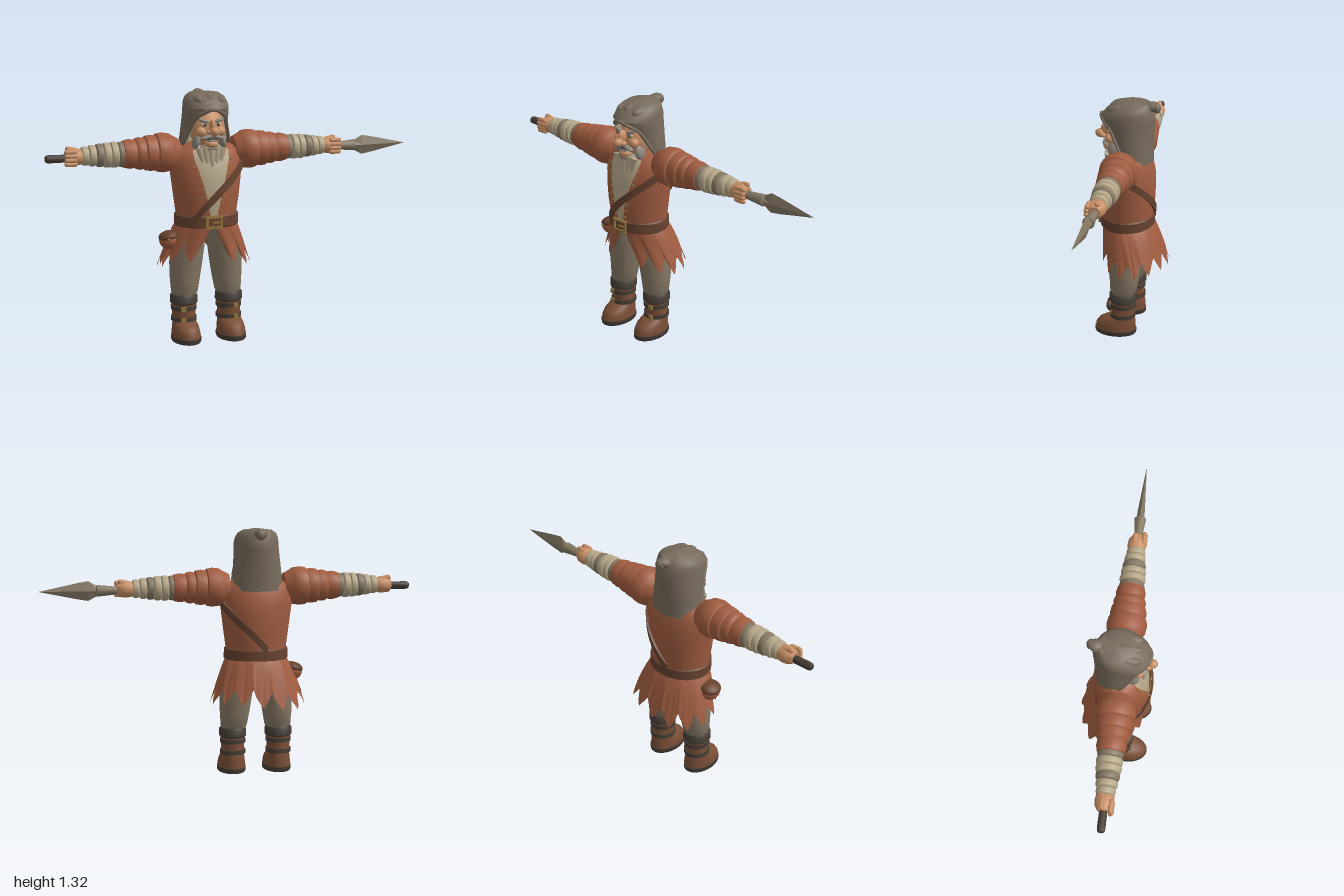
import * as THREE from 'three';
import { toCreasedNormals } from 'three/addons/utils/BufferGeometryUtils.js';

const mat = (name, color, side = THREE.FrontSide) => {
  const m = new THREE.MeshStandardMaterial({ color, side });
  m.name = name;
  return m;
};
const { sin, cos, PI, abs } = Math;

// Surface from a point rule: u runs to the right, v runs up
function grid(fn, nu, nv, crease = 0.7) {
  const pos = [], idx = [], w = nu + 1;
  for (let j = 0; j <= nv; j++) for (let i = 0; i <= nu; i++) pos.push(...fn(i / nu, j / nv));
  for (let j = 0; j < nv; j++) for (let i = 0; i < nu; i++) {
    const a = j * w + i;
    idx.push(a, a + 1, a + w + 1, a, a + w + 1, a + w);
  }
  const g = new THREE.BufferGeometry();
  g.setAttribute('position', new THREE.Float32BufferAttribute(pos, 3));
  g.setIndex(idx);
  return toCreasedNormals(g, crease);
}

// Elliptical cross-sections [y, cx, cz, rx, rz, halfOpening at the front]
function loft(rows, n = 24, cap = true, crease = 0.7) {
  if (cap) {
    const f = rows[0], l = rows[rows.length - 1];
    rows = [[f[0], f[1], f[2], 0, 0], ...rows, [l[0], l[1], l[2], 0, 0]];
  }
  return grid((u, v) => {
    const [y, cx, cz, rx, rz, h = 0] = rows[Math.round(v * (rows.length - 1))];
    const a = h + u * (2 * PI - 2 * h);
    return [cx + rx * sin(a), y, cz + rz * cos(a)];
  }, n, rows.length - 1, crease);
}
// Round sections [distance, radius] laid along the x axis on side s
const limb = (rows, s, n = 20) => loft(rows.map(([t, r, q = r]) => [t, 0, 0, r, q]), n).rotateZ(-s * PI / 2);

function sample(rows, y) {
  let i = 0;
  while (i < rows.length - 2 && rows[i + 1][0] < y) i++;
  const t = THREE.MathUtils.clamp((y - rows[i][0]) / (rows[i + 1][0] - rows[i][0]), 0, 1);
  return rows[i].map((v, k) => v + (rows[i + 1][k] - v) * t);
}

export function createModel() {
  const model = new THREE.Group();
  const fig = new THREE.Group();
  fig.name = 'figure';
  fig.position.x = -0.15;
  model.add(fig);

  const vestM = mat('rust cloth', 0xa05c40, THREE.DoubleSide);
  const leather = mat('dark leather', 0x664230);
  const bootM = mat('boot leather', 0x7a4e36);
  const taupe = mat('taupe cloth', 0x857864);
  const hoodM = mat('hood cloth', 0x776b5c, THREE.DoubleSide);
  const skin = mat('skin', 0xc89066);
  const cream = mat('cream cloth', 0xb5a688, THREE.DoubleSide);
  const dark = mat('dark', 0x453d35);
  const gold = mat('brass', 0x94733c);
  const hair = mat('grey hair', 0x8b857b);

  const add = (name, g, m, x = 0, y = 0, z = 0, parent = fig) => {
    const o = new THREE.Mesh(g, m);
    o.name = name;
    o.position.set(x, y, z);
    parent.add(o);
    return o;
  };
  const ball = (name, m, x, y, z, rx, ry = rx, rz = rx, rotZ = 0) => {
    const o = add(name, new THREE.SphereGeometry(1, 18, 12), m, x, y, z);
    o.scale.set(rx, ry, rz);
    o.rotation.z = rotZ;
    return o;
  };

  // Torso: shirt inside an open vest
  const torso = [
    [0.64, 0, 0.025, 0.158, 0.138, 0.1], [0.7, 0, 0.026, 0.165, 0.143, 0.13], [0.77, 0, 0.027, 0.175, 0.149, 0.2],
    [0.85, 0, 0.025, 0.185, 0.15, 0.31], [0.92, 0, 0.022, 0.194, 0.143, 0.4], [0.98, 0, 0.02, 0.195, 0.127, 0.5],
    [1.02, 0, 0.018, 0.177, 0.11, 0.58], [1.045, 0, 0.015, 0.135, 0.09, 0.65], [1.06, 0, 0.01, 0.06, 0.05, 0.7]];
  const onTorso = (a, y, off) => {
    const r = sample(torso, y);
    return [(r[3] + off) * sin(a), y, r[2] + (r[4] + off) * cos(a)];
  };
  add('vest', loft(torso, 40, false), vestM);
  add('shirt', loft(torso.map(r => [r[0], 0, r[2], r[3] - 0.012, r[4] - 0.01]), 36), cream);
  for (const s of [-1, 1]) for (let i = 0; i < 8; i++) {
    const y = 0.71 + i * 0.038;
    const p = onTorso(s * (sample(torso, y)[5] + 0.07), y, 0.001);
    ball('vestStud', gold, ...p, 0.006);
  }
  // Beard locks over the chest
  for (let i = -2; i <= 2; i++) {
    const lock = add('beardLock', new THREE.ConeGeometry(0.024, 0.17 - abs(i) * 0.025, 8), cream,
      i * 0.026, 0.965 + abs(i) * 0.008, 0.142 - abs(i) * 0.006);
    lock.rotation.set(PI - 0.1, 0, i * 0.08);
    lock.scale.z = 0.6;
  }

  // Diagonal strap, belt and buckle
  const strapCut = [[-0.024, 0], [-0.024, 0.012], [0.024, 0.012], [0.024, 0]];
  add('shoulderStrap', grid((u, v) => {
    const a = -0.75 + u * 4.1, [dy, off] = strapCut[Math.round(v * 3)];
    return onTorso(a, 0.97 - 0.3 * Math.pow(abs(a - 1.4) / 2, 1.3) + dy, off);
  }, 48, 3), leather);
  add('belt', loft([[0.62, 0, 0.026, 0.167, 0.142], [0.626, 0, 0.026, 0.173, 0.148],
    [0.678, 0, 0.026, 0.172, 0.148], [0.684, 0, 0.026, 0.166, 0.142]], 36), leather);
  const frame = new THREE.Shape([[-0.045, -0.033], [0.045, -0.033], [0.045, 0.033], [-0.045, 0.033]].map(p => new THREE.Vector2(...p)));
  frame.holes.push(new THREE.Path([[-0.033, -0.021], [-0.033, 0.021], [0.033, 0.021], [0.033, -0.021]].map(p => new THREE.Vector2(...p))));
  add('beltBuckle', new THREE.ExtrudeGeometry(frame, { depth: 0.016, bevelEnabled: false }), gold, 0, 0.652, 0.164);
  add('bucklePin', new THREE.BoxGeometry(0.05, 0.008, 0.01), gold, 0.015, 0.652, 0.176);

  // Ragged skirt of the coat
  add('raggedSkirt', grid((u, v) => {
    const k = Math.floor(u * 13 - 1e-6), tooth = abs(((u * 13) % 1) * 2 - 1);
    const f = 1 - v, h = 0.03 + 0.24 * f, a = h + u * (2 * PI - 2 * h);
    const low = 0.4 + 0.025 * cos(a) + 0.022 * sin(k * 5.3) + 0.085 * tooth;
    const fold = 1 + f * 0.055 * cos(u * 2 * PI * 13 + PI);
    const flare = Math.pow(f, 0.8);
    return [(0.158 + 0.085 * flare) * fold * sin(a), 0.64 + (low - 0.64) * f,
      0.024 - 0.045 * flare + (0.136 + 0.034 * flare) * fold * cos(a)];
  }, 130, 6), vestM);

  // Hip pouch
  ball('pouch', vestM, -0.208, 0.545, 0.03, 0.05, 0.048, 0.055);
  ball('pouchFlap', leather, -0.21, 0.567, 0.03, 0.053, 0.027, 0.058, 0.25);
  ball('pouchButton', gold, -0.222, 0.555, 0.085, 0.008);

  for (const s of [-1, 1]) {
    // Trousers
    add('trouserLeg', loft([[0.235, s * 0.122, 0.024, 0.06, 0.06], [0.26, s * 0.121, 0.022, 0.071, 0.073],
      [0.33, s * 0.117, 0.018, 0.08, 0.081], [0.42, s * 0.111, 0.018, 0.088, 0.092],
      [0.52, s * 0.1, 0.02, 0.09, 0.1], [0.64, s * 0.085, 0.022, 0.08, 0.1]]), taupe);
    // Boots
    const x = s * 0.126;
    add('bootCuff', loft([[0.195, x, 0.024, 0.066, 0.068], [0.203, x, 0.024, 0.074, 0.076],
      [0.24, x, 0.024, 0.073, 0.075], [0.25, x, 0.024, 0.066, 0.068]]), dark);
    add('bootFoot', loft([[0.02, x, 0.065, 0.074, 0.113], [0.05, x, 0.064, 0.073, 0.111], [0.075, x, 0.056, 0.069, 0.102],
      [0.093, x, 0.04, 0.064, 0.083], [0.108, x, 0.024, 0.061, 0.064], [0.2, x, 0.024, 0.064, 0.066]], 28), bootM);
    add('bootSole', loft([[0, x, 0.065, 0.074, 0.113], [0.006, x, 0.065, 0.077, 0.116], [0.027, x, 0.065, 0.077, 0.116]], 28), dark);
    for (const y of [0.115, 0.175]) {
      add('bootStrap', loft([[y - 0.011, x, 0.024, 0.069, 0.071], [y + 0.011, x, 0.024, 0.069, 0.071]]), dark);
      add('bootBuckle', new THREE.BoxGeometry(0.026, 0.024, 0.01), gold, x + s * 0.02, y, 0.092);
    }

    // Arms
    const arm = new THREE.Group();
    arm.name = s > 0 ? 'leftArm' : 'rightArm';
    arm.position.set(0, 1.01, 0.02);
    fig.add(arm);
    add('puffSleeve', limb([[0.15, 0.07], [0.19, 0.09], [0.2, 0.099], [0.24, 0.104], [0.268, 0.099], [0.274, 0.09],
      [0.28, 0.091], [0.3, 0.094], [0.328, 0.09], [0.334, 0.081], [0.34, 0.081], [0.36, 0.085], [0.378, 0.08],
      [0.384, 0.073], [0.39, 0.074], [0.415, 0.077], [0.445, 0.07], [0.45, 0.06]], s, 28), vestM, 0, 0, 0, arm);
    const radii = [0.066, 0.068, 0.066, 0.061, 0.056, 0.05];
    radii.forEach((r, i) => {
      const t = 0.436 + i * 0.038;
      add('forearmWrap', limb([[t, r - 0.012], [t + 0.006, r - 0.002], [t + 0.02, r], [t + 0.034, r - 0.003],
        [t + 0.04, r - 0.012]], s), i % 3 === 0 ? taupe : cream, 0, 0, 0, arm);
    });
    // Fist with fingers pointing outward around the shaft
    add('palm', limb([[0.64, 0.03], [0.66, 0.038, 0.044], [0.69, 0.045, 0.05], [0.72, 0.043, 0.046], [0.745, 0.03]], s),
      skin, 0, -0.002, 0, arm);
    for (let i = 0; i < 4; i++) {
      const finger = add('finger', new THREE.CapsuleGeometry(0.0125, 0.045, 4, 10), skin,
        s * 0.723, 0.028 - i * 0.021, 0.042 - abs(i - 1.5) * 0.005, arm);
      finger.rotation.z = PI / 2;
    }
    const thumb = add('thumb', new THREE.CapsuleGeometry(0.014, 0.04, 4, 10), skin, s * 0.71, 0.034, -0.012, arm);
    thumb.rotation.z = PI / 2 + s * 0.2;

    // Weapon: butt on the right, head on the left
    if (s > 0) {
      add('spearSocket', limb([[0.7, 0.02], [0.76, 0.022], [0.85, 0.031], [0.856, 0.02]], s, 12), taupe, 0, -0.008, 0, arm);
      const blade = loft([[0.84, 0, 0, 0.022, 0.02], [0.895, 0, 0, 0.052, 0.019], [0.95, 0, 0, 0.043, 0.015],
        [1.15, 0, 0, 0.001, 0.001]], 4, true, 0.2).rotateZ(-PI / 2);
      add('spearBlade', blade, taupe, 0, -0.008, 0, arm);
    } else {
      add('spearButt', limb([[0.7, 0.02], [0.83, 0.021], [0.844, 0.019], [0.85, 0.012]], s, 12), dark, 0, -0.008, 0, arm);
    }
  }

  // Hood with face opening, hem, lining and drooping tip
  const hood = [[0.995, 0, -0.018, 0.135, 0.094, 1.5], [1.08, 0, -0.004, 0.132, 0.11, 1.1], [1.14, 0, 0.004, 0.126, 0.12, 0.9],
    [1.19, 0, 0.012, 0.121, 0.13, 0.72], [1.215, 0, 0.02, 0.12, 0.14, 0.5], [1.24, 0, 0.024, 0.119, 0.145, 0],
    [1.27, 0, 0.016, 0.115, 0.128], [1.295, 0, 0.004, 0.103, 0.11], [1.313, 0, -0.006, 0.078, 0.088], [1.323, 0, -0.01, 0, 0]];
  add('hood', loft(hood, 40, false), hoodM);
  add('hoodLining', loft(hood.slice(0, 5).map(r => [r[0], 0, r[2], r[3] - 0.012, r[4] - 0.012, r[5] - 0.12]), 30, false), cream);
  const edge = s => hood.slice(0, 6).map(([y, , cz, rx, rz, h]) => new THREE.Vector3(s * rx * sin(h), y, cz + rz * cos(h)));
  const hem = new THREE.CatmullRomCurve3([...edge(-1), ...edge(1).reverse().slice(1)]);
  add('hoodHem', new THREE.TubeGeometry(hem, 50, 0.01, 8), hoodM);
  for (const x of [-0.055, 0, 0.055])
    ball('hoodFold', hoodM, x, 1.288 - abs(x) * 0.15, 0.02, 0.036, 0.034, 0.105);
  const tip = ball('hoodTip', hoodM, 0, 1.293, -0.095, 0.036, 0.028, 0.05);
  tip.rotation.x = 0.35;
  ball('hoodTipCurl', hoodM, 0.006, 1.293, -0.13, 0.026, 0.028, 0.022);

  // Head and face
  ball('head', skin, 0, 1.13, 0.045, 0.092, 0.11, 0.092);
  ball('neck', skin, 0, 1.04, 0.02, 0.07, 0.05, 0.07);
  ball('chin', skin, 0, 1.058, 0.122, 0.036, 0.026, 0.038);
  ball('noseBridge', skin, 0, 1.152, 0.145, 0.016, 0.035, 0.03);
  ball('noseTip', skin, 0, 1.127, 0.177, 0.024, 0.024, 0.028);
  ball('mouth', dark, 0, 1.082, 0.135, 0.03, 0.007, 0.012);
  ball('lowerLip', hair, 0, 1.074, 0.14, 0.026, 0.008, 0.014);
  for (const s of [-1, 1]) {
    ball('nostril', skin, s * 0.022, 1.122, 0.158, 0.014, 0.013, 0.018);
    ball('cheek', skin, s * 0.05, 1.12, 0.112, 0.03, 0.027, 0.028);
    ball('eye', cream, s * 0.037, 1.158, 0.122, 0.017, 0.011, 0.01);
    ball('pupil', dark, s * 0.035, 1.158, 0.13, 0.007, 0.008, 0.004);
    ball('eyebrow', hair, s * 0.042, 1.179, 0.124, 0.033, 0.009, 0.018, s * 0.35);
    ball('moustache', hair, s * 0.031, 1.094, 0.137, 0.035, 0.012, 0.018, -s * 0.3);
    ball('sideWhisker', hair, s * 0.069, 1.07, 0.085, 0.02, 0.045, 0.035, s * 0.3);
  }
  ball('beardUnderChin', hair, 0, 1.035, 0.1, 0.055, 0.022, 0.05);
  const collar = add('collar', new THREE.TorusGeometry(0.092, 0.014, 8, 30), vestM, 0, 1.032, 0.025);
  collar.rotation.x = PI / 2 + 0.15;

  return model;
}
